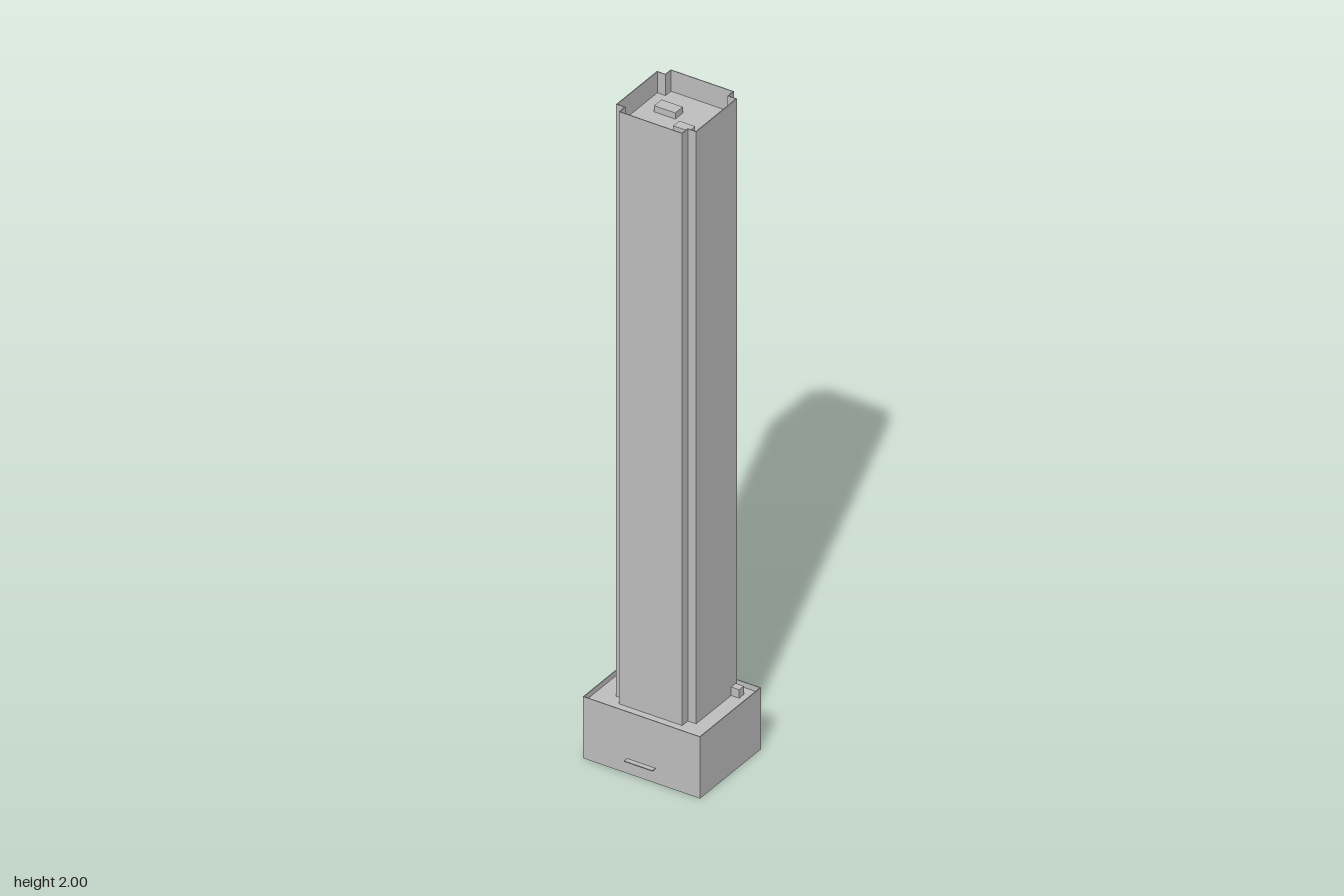
import * as THREE from 'three';

const T = 0.0025; // wall thickness

// Plan outlines as [x, z] corners, shrunk inward by t
const podiumPlan = (t) => {
  const x = 0.183 - t, b = -0.154 + t, f = 0.138 - t;
  return [[-x, f], [x, f], [x, b], [-x, b]];
};
const towerPlan = (t) => {
  const wide = 0.125 - t, slim = 0.099 - t;
  const back = -0.154 + t, front = 0.095 - t;
  const sideBack = -0.128 + t, sideFront = 0.068 - t;
  return [
    [-slim, front], [slim, front], [slim, sideFront], [wide, sideFront],
    [wide, sideBack], [slim, sideBack], [slim, back], [-slim, back],
    [-slim, sideBack], [-wide, sideBack], [-wide, sideFront], [-slim, sideFront],
  ];
};
const toPoints = (plan) => plan.map(([x, z]) => new THREE.Vector2(x, -z));

// Raise a plan from y0 to y1, optionally hollow
function raise(plan, y0, y1, hole) {
  const shape = new THREE.Shape(toPoints(plan));
  if (hole) shape.holes.push(new THREE.Path(toPoints(hole)));
  const geo = new THREE.ExtrudeGeometry(shape, { depth: y1 - y0, bevelEnabled: false });
  return geo.rotateX(-Math.PI / 2).translate(0, y0, 0);
}

// Box given by its limits
function block(x0, x1, y0, y1, z0, z1) {
  return new THREE.BoxGeometry(x1 - x0, y1 - y0, z1 - z0)
    .translate((x0 + x1) / 2, (y0 + y1) / 2, (z0 + z1) / 2);
}

export function createModel() {
  const group = new THREE.Group();
  const concrete = new THREE.MeshStandardMaterial({ color: 0xbfbfbf });
  concrete.name = 'concrete grey';
  const add = (name, geo) => {
    const mesh = new THREE.Mesh(geo, concrete);
    mesh.name = name;
    group.add(mesh);
  };

  // Podium: open below, with a roof sunk behind a low parapet
  add('podiumWalls', raise(podiumPlan(0), 0, 0.19, podiumPlan(T)));
  add('podiumRoof', raise(podiumPlan(T), 0.17, 0.174));
  add('podiumRoofUnit', block(0.123, 0.15, 0.174, 0.2, -0.122, -0.1));
  add('entranceCanopy', block(-0.045, 0.043, 0.043, 0.046, 0.137, 0.152));

  // Tower: notched corners, flush with the podium at the back
  add('towerWalls', raise(towerPlan(0), 0.172, 2, towerPlan(T)));
  add('towerRoof', raise(towerPlan(T), 1.93, 1.935));

  // Rooftop plant
  add('largeRoofUnit', block(-0.078, -0.012, 1.935, 1.954, -0.078, -0.042));
  add('smallRoofUnit', block(0.018, 0.068, 1.935, 1.954, -0.015, 0.014));

  return group;
}
